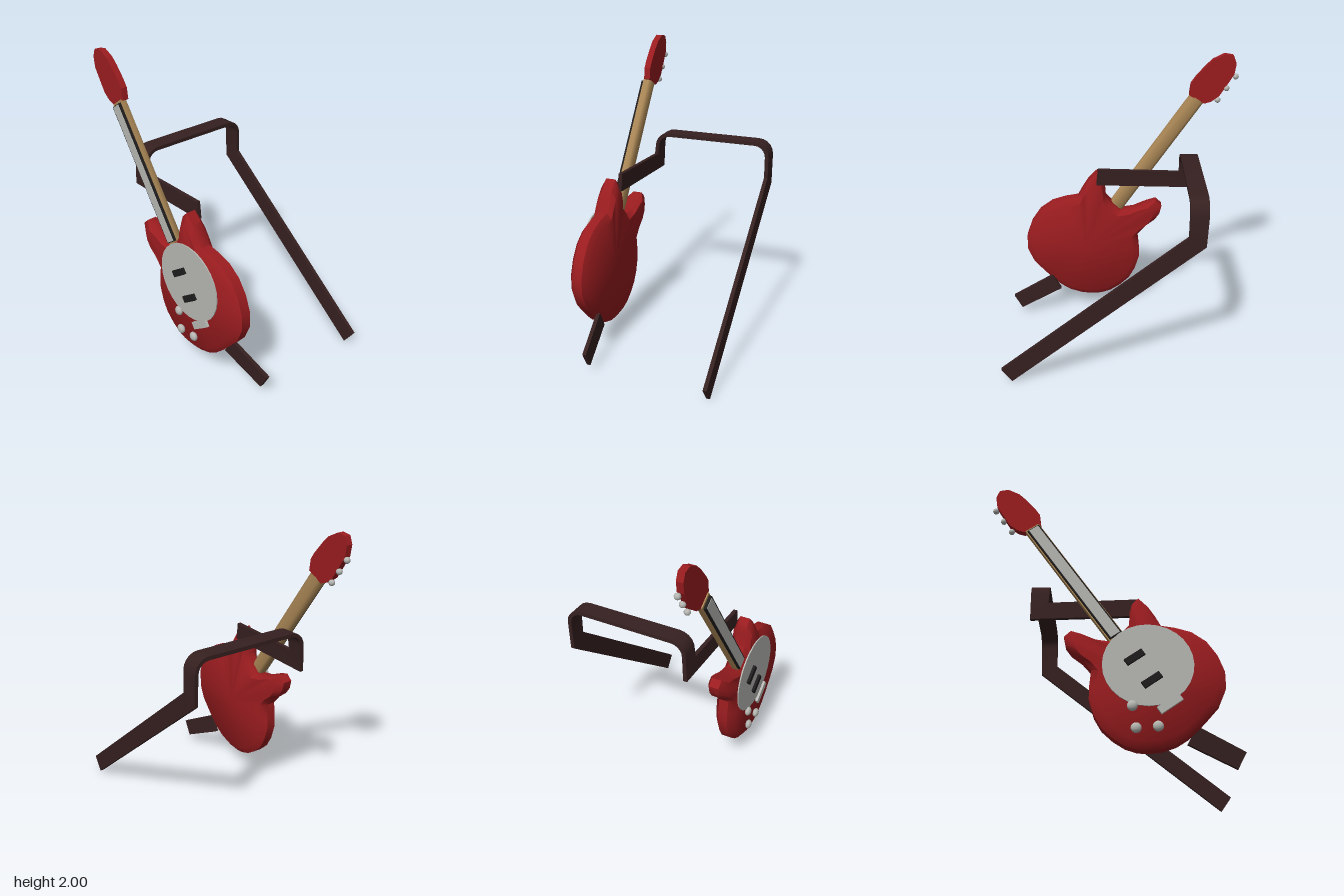
import * as THREE from 'three';
import { toCreasedNormals } from 'three/addons/utils/BufferGeometryUtils.js';

const mat = (name, color) => {
  const m = new THREE.MeshStandardMaterial({ color });
  m.name = name;
  return m;
};

// Skin a row of closed rings (counter-clockwise about the travel direction) and cap both ends.
function loft(rings, crease, capCentres) {
  const pos = [];
  const tri = (a, b, c) => [a, b, c].forEach(p => pos.push(p.x, p.y, p.z));
  const n = rings[0].length, last = rings.length - 1;
  const mid = ring => ring.reduce((s, p) => s.add(p), new THREE.Vector3()).divideScalar(n);
  const [c0, c1] = capCentres || [mid(rings[0]), mid(rings[last])];
  for (let i = 0; i < n; i++) {
    const j = (i + 1) % n;
    for (let k = 0; k < last; k++) {
      const a = rings[k], b = rings[k + 1];
      tri(a[i], a[j], b[j]);
      tri(a[i], b[j], b[i]);
    }
    tri(c0, rings[0][j], rings[0][i]);
    tri(c1, rings[last][i], rings[last][j]);
  }
  const g = new THREE.BufferGeometry();
  g.setAttribute('position', new THREE.Float32BufferAttribute(pos, 3));
  return toCreasedNormals(g, crease);
}

export function createModel() {
  const red = mat('red lacquer', 0x9a1c1f);
  const wood = mat('neck wood', 0xa98655);
  const dark = mat('black', 0x1e1c1c);
  const silver = mat('silver', 0xb6b6b2);
  const leather = mat('strap leather', 0x362020);

  const model = new THREE.Group();
  const add = (parent, name, geo, material, x = 0, y = 0, z = 0) => {
    const m = new THREE.Mesh(geo, material);
    m.name = name;
    m.position.set(x, y, z);
    parent.add(m);
    return m;
  };

  // Guitar: drawn in its own plane, then turned so its back faces +x
  const guitar = new THREE.Group();
  guitar.name = 'guitar';
  guitar.rotation.y = Math.PI / 2;
  model.add(guitar);

  // Body: two-horned outline with bevelled front and back
  const outline = [
    [-0.16, 1.15], [-0.22, 1.09], [-0.265, 1.02], [-0.3, 0.955], [-0.39, 0.94], [-0.49, 0.91],
    [-0.58, 0.845], [-0.645, 0.75], [-0.685, 0.64], [-0.685, 0.53], [-0.64, 0.425], [-0.57, 0.345],
    [-0.51, 0.28], [-0.445, 0.22], [-0.375, 0.175], [-0.285, 0.145], [-0.2, 0.137], [-0.14, 0.142],
    [-0.07, 0.165], [0, 0.21], [0.07, 0.275], [0.115, 0.355], [0.147, 0.46], [0.147, 0.535],
    [0.135, 0.65], [0.19, 0.715], [0.26, 0.77], [0.295, 0.82], [0.308, 0.88], [0.265, 0.92],
    [0.2, 0.9], [0.11, 0.86], [0.01, 0.845], [-0.05, 0.9], [-0.1, 0.96], [-0.105, 1.05], [-0.12, 1.11],
  ];
  const cx = -0.25, cy = 0.55;
  const bodyRings = [[-0.487, 0.89], [-0.452, 1], [-0.385, 1], [-0.352, 0.89]].map(([z, s]) =>
    outline.map(([x, y]) => new THREE.Vector3(cx + (x - cx) * s, cy + (y - cy) * s, z)));
  add(guitar, 'body', loft(bodyRings, 0.75,
    [new THREE.Vector3(cx, cy, -0.487), new THREE.Vector3(cx, cy, -0.352)]), red);

  // Headstock
  const head = new THREE.Shape([
    [0.483, 1.715], [0.59, 1.655], [0.637, 1.67], [0.69, 1.71], [0.743, 1.793], [0.785, 1.862], [0.796, 1.936],
    [0.775, 1.99], [0.716, 2], [0.64, 1.963], [0.59, 1.915], [0.525, 1.84], [0.493, 1.793],
  ].map(p => new THREE.Vector2(...p)));
  add(guitar, 'headstock', new THREE.ExtrudeGeometry(head, { depth: 0.045, bevelEnabled: false }),
    red, 0, 0, -0.45);

  // Tuning pegs along one edge
  for (let i = 0; i < 3; i++) {
    add(guitar, 'tuningPeg', new THREE.SphereGeometry(0.021, 10, 8), silver,
      0.68 + i * 0.058, 1.68 + i * 0.083, -0.415);
  }

  // Face plate
  const plate = add(guitar, 'facePlate', new THREE.CylinderGeometry(0.282, 0.282, 0.009, 28), silver,
    -0.213, 0.672, -0.491);
  plate.rotation.x = Math.PI / 2;
  plate.scale.z = 0.96;

  // Control knobs
  for (const [x, y] of [[-0.114, 0.4], [-0.266, 0.272], [-0.135, 0.262]]) {
    add(guitar, 'knob', new THREE.SphereGeometry(0.033, 12, 8), silver, x, y, -0.502).scale.z = 0.65;
  }

  // Parts lined up on the neck axis: local y runs towards the headstock
  const axis = new THREE.Group();
  axis.name = 'neckAssembly';
  axis.position.set(-0.01, 0.89, 0);
  axis.rotation.z = -0.604;
  guitar.add(axis);

  const neckSection = [[-0.458, -0.052], [-0.42, -0.052], [-0.405, -0.032],
    [-0.405, 0.032], [-0.42, 0.052], [-0.458, 0.052]];
  add(axis, 'neck', loft([-0.03, 0.97].map(y =>
    neckSection.map(([z, x]) => new THREE.Vector3(x, y, z))), 0.95), wood);
  add(axis, 'fretboard', new THREE.BoxGeometry(0.088, 0.965, 0.018), dark, 0, 0.47, -0.466);
  add(axis, 'strings', new THREE.BoxGeometry(0.07, 0.955, 0.004), silver, 0, 0.47, -0.476);
  for (const y of [-0.213, -0.395]) {
    add(axis, 'pickup', new THREE.BoxGeometry(0.13, 0.044, 0.02), dark, 0, y, -0.504);
  }
  add(axis, 'bridge', new THREE.BoxGeometry(0.16, 0.05, 0.02), silver, 0, -0.58, -0.502);

  // Strap: flat band; each section has a centre, a half-width vector and a facing angle about z
  const half = 0.013;
  const section = (x, s, y, ws, wy, angle) => {
    const c = new THREE.Vector3(x, y, -s);
    const w = new THREE.Vector3(0, wy, -ws);
    const n = new THREE.Vector3(Math.cos(angle), Math.sin(angle), 0).multiplyScalar(half);
    return [[1, 1], [-1, 1], [-1, -1], [1, -1]].map(([a, b]) =>
      c.clone().addScaledVector(n, a).addScaledVector(w, b));
  };
  const r = 0.09, steps = 5;
  const band = [
    section(0.504, -0.777, 0.053, 0.034, -0.048, 0),
    section(0.504, 0.475, 1.06, 0.056, -0.032, 0),
  ];
  for (const [x, start] of [[0.504 - r, 0], [-0.322 + r, Math.PI / 2]]) {
    for (let i = 0; i <= steps; i++) {
      const a = start + (i / steps) * Math.PI / 2;
      band.push(section(x + r * Math.cos(a), 0.48, 1.24 + r * Math.sin(a), 0.06, 0, a));
    }
  }
  band.push(section(-0.33, 0.48, 1.12, 0.058, -0.06, Math.PI));
  band.push(section(-0.35, -0.16, 1.132, -0.006, -0.06, Math.PI));
  add(model, 'strap', loft(band, 0.5), leather);

  // Loose strap end at the base of the body
  add(model, 'strapEnd', loft([
    section(-0.368, -0.475, 0.258, 0.03, -0.058, Math.PI),
    section(-0.325, -0.773, 0.112, 0.028, -0.052, Math.PI),
  ], 0.5), leather);

  return model;
}
